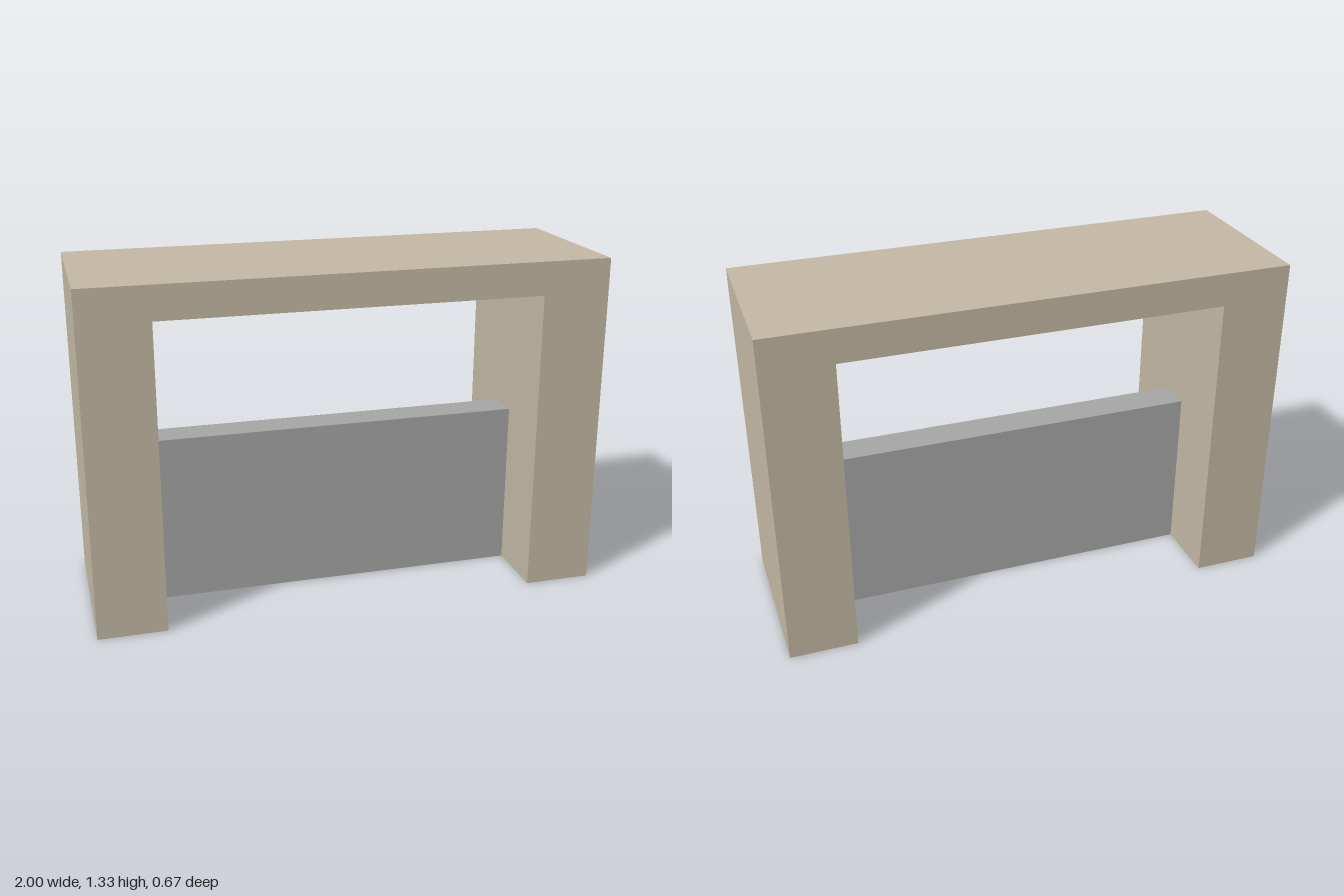
import * as THREE from 'three';

const DEPTH = 0.667;

export function createModel() {
  const group = new THREE.Group();
  const stone = new THREE.MeshStandardMaterial({ color: 0xc2b8a3 });
  const grey = new THREE.MeshStandardMaterial({ color: 0xa5a5a5 });

  // Portal frame: two legs and a lintel as one extruded outline
  const outline = new THREE.Shape([
    [-1, 0], [-0.735, 0], [-0.735, 1.203], [0.735, 1.203],
    [0.735, 0], [1, 0], [1, 1.333], [-1, 1.333],
  ].map(([x, y]) => new THREE.Vector2(x, y)));
  const frameGeometry = new THREE.ExtrudeGeometry(outline, { depth: DEPTH, bevelEnabled: false });
  frameGeometry.translate(0, 0, -DEPTH / 2);
  const frame = new THREE.Mesh(frameGeometry, stone);
  frame.name = 'frame';
  group.add(frame);

  // Half-height panel midway between the legs
  const panel = new THREE.Mesh(new THREE.BoxGeometry(1.47, 0.667, 0.133), grey);
  panel.name = 'panel';
  panel.position.y = 0.667 / 2;
  group.add(panel);

  return group;
}
